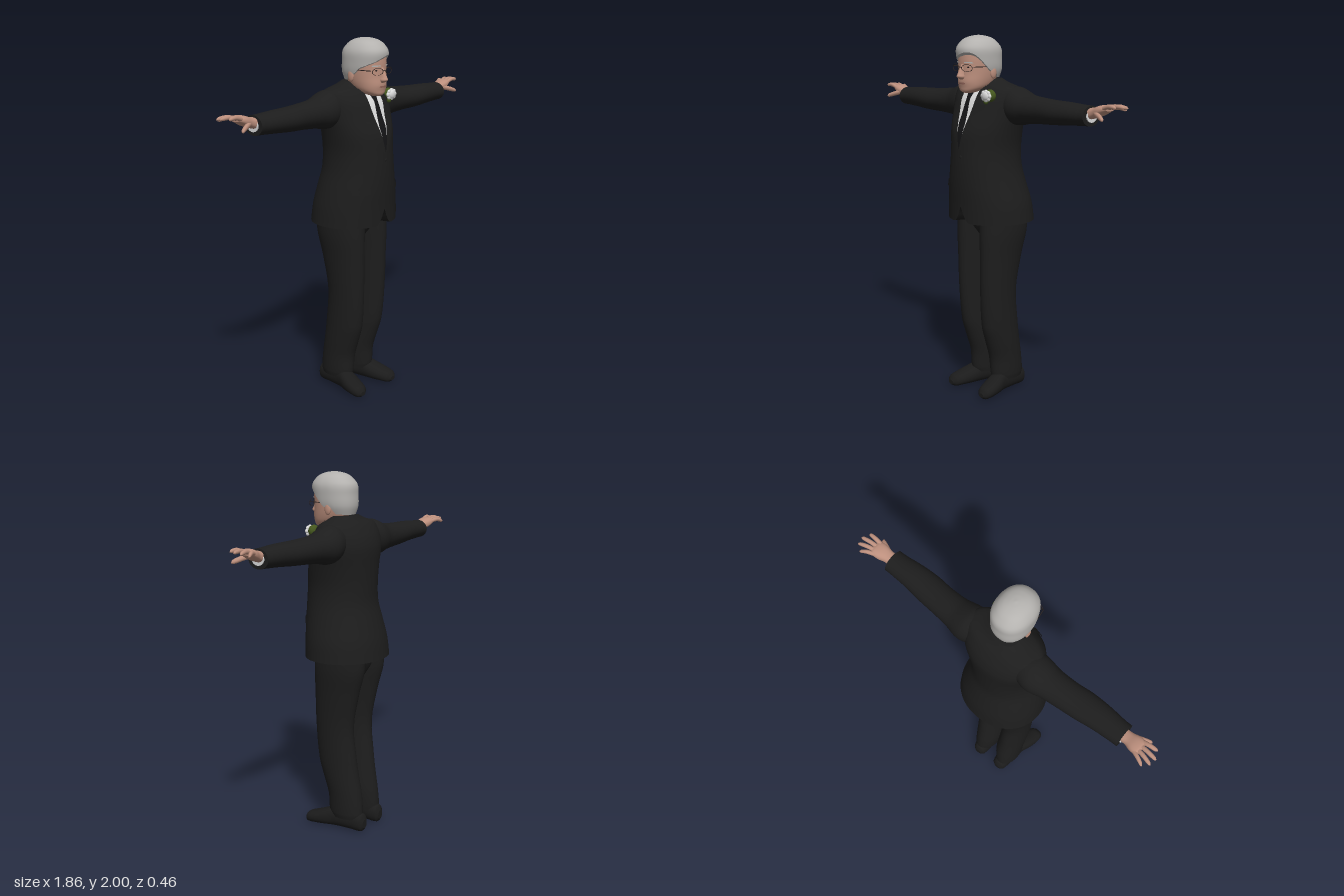
import * as THREE from 'three';

const mat = (name, color, side = THREE.FrontSide) => {
  const m = new THREE.MeshStandardMaterial({ color, side });
  m.name = name;
  return m;
};
const M = {
  suit: mat('suit black', 0x1d1d1d, THREE.DoubleSide),
  shoe: mat('shoe black', 0x1b1b1b),
  tie: mat('tie black', 0x141416, THREE.DoubleSide),
  shirt: mat('shirt white', 0xdcdcdc, THREE.DoubleSide),
  skin: mat('skin', 0xbc8f7d, THREE.DoubleSide),
  lips: mat('lips', 0x9c6c60, THREE.DoubleSide),
  hair: mat('grey hair', 0xb4b2af, THREE.DoubleSide),
  frame: mat('glasses and eyes', 0x2a2220),
  leaf: mat('leaf green', 0x44561e),
};

// Smooth interpolation of sections [t, centreU, centreV, halfU, halfV]
function sample(S, t) {
  let i = 0;
  while (i < S.length - 2 && t > S[i + 1][0]) i++;
  const a = S[i], b = S[i + 1], h = b[0] - a[0];
  const f = Math.min(1, Math.max(0, (t - a[0]) / h));
  const p = S[Math.max(0, i - 1)], n = S[Math.min(S.length - 1, i + 2)];
  return a.map((_, k) => {
    const m0 = (b[k] - p[k]) / (b[0] - p[0]) * h, m1 = (n[k] - a[k]) / (n[0] - a[0]) * h;
    const f2 = f * f, f3 = f2 * f;
    return (2 * f3 - 3 * f2 + 1) * a[k] + (f3 - 2 * f2 + f) * m0 + (3 * f2 - 2 * f3) * b[k] + (f3 - f2) * m1;
  });
}

const place = {
  y: (u, t, v) => [u, t, v], // u = x, v = z
  x: (u, t, v) => [t, v, u], // u = z, v = y
  z: (u, t, v) => [v, u, t], // u = y, v = x
};

// Closed body through superellipse sections; warp(t, angle) shifts the rows
function loft(name, S, material, { axis = 'y', exp = 2, seg = 32, sub = 4, warp = (t) => t } = {}) {
  const pos = [], idx = [], ts = [];
  for (let i = 0; i < S.length - 1; i++)
    for (let k = 0; k < sub; k++) ts.push(S[i][0] + (S[i + 1][0] - S[i][0]) * k / sub);
  ts.push(S[S.length - 1][0]);
  const ring = (t) => {
    for (let j = 0; j < seg; j++) {
      const a = j / seg * Math.PI * 2, c = Math.cos(a), s = Math.sin(a), w = warp(t, a);
      const [, cu, cv, hu, hv] = sample(S, w);
      pos.push(...place[axis](
        cu + Math.max(hu, 0.001) * Math.sign(c) * Math.abs(c) ** (2 / exp), w,
        cv + Math.max(hv, 0.001) * Math.sign(s) * Math.abs(s) ** (2 / exp)));
    }
  };
  ts.forEach(ring);
  for (let i = 0; i < ts.length - 1; i++)
    for (let j = 0; j < seg; j++) {
      const a = i * seg + j, b = i * seg + (j + 1) % seg;
      idx.push(a, a + seg, b, b, a + seg, b + seg);
    }
  // end caps
  [ts[0], ts[ts.length - 1]].forEach((t, e) => {
    const o = pos.length / 3;
    ring(t);
    const [, cu, cv] = sample(S, t);
    pos.push(...place[axis](cu, t, cv));
    for (let j = 0; j < seg; j++) {
      const p = o + j, q = o + (j + 1) % seg;
      idx.push(o + seg, ...(e ? [q, p] : [p, q]));
    }
  });
  return build(name, pos, idx, material);
}

function build(name, pos, idx, material) {
  const g = new THREE.BufferGeometry();
  g.setAttribute('position', new THREE.Float32BufferAttribute(pos, 3));
  g.setIndex(idx);
  g.computeVertexNormals();
  return named(name, g, material);
}

function named(name, geometry, material) {
  const m = new THREE.Mesh(geometry, material);
  m.name = name;
  return m;
}

// Thin patch lying on the front of a loft; rows are [y, x0, x1], top to bottom
function patch(name, S, exp, rows, off, material) {
  const pos = [], idx = [], nx = 6, sub = 6;
  let count = 0;
  for (let i = 0; i < rows.length - 1; i++)
    for (let k = 0; k <= (i === rows.length - 2 ? sub : sub - 1); k++, count++) {
      const [y, x0, x1] = rows[i].map((v, c) => v + (rows[i + 1][c] - v) * k / sub);
      const [, cu, cv, hu, hv] = sample(S, y);
      for (let j = 0; j <= nx; j++) {
        const x = x0 + (x1 - x0) * j / nx;
        const r = Math.min(1, Math.abs((x - cu) / hu));
        pos.push(x, y, cv + hv * (1 - r ** exp) ** (1 / exp) + off);
      }
    }
  for (let i = 0; i < count - 1; i++)
    for (let j = 0; j < nx; j++) {
      const a = i * (nx + 1) + j, b = a + nx + 1;
      idx.push(a, b, a + 1, a + 1, b, b + 1);
    }
  return build(name, pos, idx, material);
}

function ball(name, x, y, z, sx, sy, sz, material) {
  return named(name, new THREE.SphereGeometry(1, 16, 12).scale(sx, sy, sz).translate(x, y, z), material);
}

// Mirror to the other side, turning the faces back outward
function mirrored(mesh) {
  const g = mesh.geometry.clone().scale(-1, 1, 1), ix = g.index.array;
  for (let i = 0; i < ix.length; i += 3) [ix[i], ix[i + 1]] = [ix[i + 1], ix[i]];
  g.computeVertexNormals();
  return named(mesh.name.replace('left', 'right'), g, mesh.material);
}

const TORSO = [
  [1.0, 0.004, -0.008, 0.248, 0.22], [1.1, 0.003, 0, 0.238, 0.215], [1.2, 0, 0.015, 0.216, 0.205],
  [1.3, 0, 0.027, 0.194, 0.193], [1.4, 0, 0.026, 0.187, 0.189], [1.5, 0, 0.02, 0.2, 0.185],
  [1.6, 0, 0.002, 0.22, 0.168], [1.66, 0, 0, 0.224, 0.15], [1.7, 0, 0, 0.22, 0.127],
  [1.73, 0, 0, 0.2, 0.103], [1.75, 0, 0.003, 0.13, 0.08], [1.77, 0, 0.005, 0.08, 0.064]];
const TORSO_EXP = 2.1;
const HEAD = [
  [1.7, 0, 0.15, 0.025, 0.03], [1.71, 0, 0.135, 0.05, 0.056], [1.73, 0, 0.115, 0.072, 0.08],
  [1.76, 0, 0.095, 0.084, 0.105], [1.8, 0, 0.083, 0.091, 0.113], [1.84, 0, 0.08, 0.094, 0.115],
  [1.88, 0, 0.08, 0.096, 0.114], [1.92, 0, 0.08, 0.092, 0.107], [1.95, 0, 0.08, 0.068, 0.082],
  [1.97, 0, 0.08, 0.03, 0.035]];
const HAIR = [
  [1.77, 0, 0.06, 0.08, 0.1], [1.82, 0, 0.066, 0.1, 0.12], [1.88, 0, 0.074, 0.105, 0.127],
  [1.93, 0, 0.078, 0.103, 0.127], [1.965, 0, 0.08, 0.084, 0.102], [1.985, 0, 0.08, 0.06, 0.073],
  [1.996, 0, 0.08, 0.03, 0.036], [2.0, 0, 0.08, 0.004, 0.004]];

// Height of the hair edge around the head: low nape, ears, sideburns, side-swept fringe
function hairline(a) {
  const s = Math.sin(a), keys = [[-1, 1.775], [-0.35, 1.78], [-0.15, 1.825], [0.12, 1.815], [0.35, 1.85], [0.7, 1.885], [1, 1.905]];
  let i = 0;
  while (i < keys.length - 2 && s > keys[i + 1][0]) i++;
  const [p, q] = [keys[i], keys[i + 1]];
  const sweep = s > 0.35 ? 0.04 * Math.cos(a) * (s - 0.35) / 0.65 : 0;
  return p[1] + (q[1] - p[1]) * (s - p[0]) / (q[0] - p[0]) + sweep;
}

export function createModel() {
  const model = new THREE.Group();
  model.name = 'man in suit';
  const add = (...m) => model.add(...m);
  const pair = (m) => add(m, mirrored(m));

  // Jacket with a narrow rounded cutaway at the front hem
  add(loft('jacket', TORSO, M.suit, {
    exp: TORSO_EXP, seg: 96,
    warp: (t, a) => {
      const lift = Math.sin(a) > 0 ? 0.09 * Math.max(0, 1 - Math.abs(Math.cos(a)) / 0.24) ** 2 : 0;
      return t + lift * Math.max(0, (1.4 - t) / 0.4);
    },
  }));
  const onChest = (name, rows, off, material) => patch(name, TORSO, TORSO_EXP, rows, off, material);
  add(onChest('shirt front', [[1.735, -0.06, 0.06], [1.66, -0.06, 0.06], [1.56, -0.042, 0.042], [1.4, -0.003, 0.003]], 0.003, M.shirt));
  add(onChest('tie', [[1.715, -0.015, 0.015], [1.7, -0.022, 0.022], [1.67, -0.014, 0.014], [1.54, -0.025, 0.025], [1.4, -0.008, 0.008]], 0.006, M.tie));
  pair(onChest('left lapel', [[1.745, 0.056, 0.075], [1.67, 0.056, 0.112], [1.65, 0.054, 0.085], [1.64, 0.053, 0.125],
    [1.55, 0.036, 0.095], [1.4, 0, 0.012]], 0.008, M.suit));
  pair(onChest('left pocket flap', [[1.215, 0.1, 0.18], [1.185, 0.1, 0.18]], 0.006, M.suit));
  add(ball('jacket button', 0.008, 1.36, 0.216, 0.009, 0.009, 0.004, M.suit));

  // Sleeves and cuffs
  pair(loft('left sleeve', [
    [0.14, -0.02, 1.642, 0.085, 0.09], [0.2, -0.02, 1.634, 0.1, 0.101], [0.24, -0.02, 1.628, 0.098, 0.095],
    [0.3, -0.017, 1.623, 0.086, 0.078], [0.4, -0.012, 1.622, 0.08, 0.068], [0.5, -0.004, 1.622, 0.08, 0.063],
    [0.6, 0, 1.625, 0.072, 0.058], [0.7, -0.002, 1.625, 0.064, 0.052], [0.74, -0.002, 1.625, 0.063, 0.051]], M.suit, { axis: 'x' }));
  pair(loft('left shirt cuff', [[0.72, -0.003, 1.625, 0.038, 0.032], [0.746, -0.003, 1.625, 0.038, 0.032]], M.shirt, { axis: 'x' }));

  // Hands: palm, four spread fingers, lowered thumb
  pair(loft('left palm', [
    [0.73, -0.003, 1.635, 0.035, 0.029], [0.765, -0.005, 1.643, 0.034, 0.027], [0.8, -0.01, 1.655, 0.043, 0.027],
    [0.83, -0.014, 1.665, 0.043, 0.02], [0.848, -0.016, 1.668, 0.034, 0.012]], M.skin, { axis: 'x', exp: 2.4 }));
  const finger = (name, x0, y0, z0, x1, y1, z1, r, bend) => {
    const at = (f, k) => [x0 + (x1 - x0) * f, z0 + (z1 - z0) * f, y0 + (y1 - y0) * f + bend * 4 * f * (1 - f), r * k, r * k];
    pair(loft(name, [at(0, 1), at(0.5, 1), at(0.9, 0.8), at(1, 0.25)], M.skin, { axis: 'x', seg: 12 }));
  };
  [[0.895, 1.66, -0.08, -0.046], [0.925, 1.672, -0.055, -0.026], [0.932, 1.677, -0.02, -0.005], [0.912, 1.678, 0.02, 0.015]]
    .forEach(([x, y, z, z0], i) => finger(`left finger ${i + 1}`, 0.82, 1.665, z0, x, y, z, 0.0115, 0.01));
  finger('left thumb', 0.775, 1.645, 0.015, 0.865, 1.618, 0.056, 0.0135, 0.002);

  // Trousers and shoes
  add(loft('trouser seat', [[0.9, 0, -0.03, 0.03, 0.09], [0.96, 0, -0.025, 0.08, 0.13], [1.04, 0, -0.02, 0.165, 0.155], [1.15, 0, -0.01, 0.18, 0.155]], M.suit));
  pair(loft('left trouser leg', [
    [0.07, 0.082, -0.058, 0.064, 0.097], [0.1, 0.083, -0.055, 0.069, 0.105], [0.2, 0.08, -0.046, 0.075, 0.104],
    [0.3, 0.082, -0.022, 0.077, 0.111], [0.4, 0.085, 0, 0.076, 0.119], [0.6, 0.09, 0.017, 0.074, 0.118],
    [0.8, 0.093, 0, 0.082, 0.138], [0.95, 0.094, -0.018, 0.094, 0.157], [1.15, 0.088, -0.02, 0.09, 0.15]], M.suit));
  pair(loft('left shoe', [
    [-0.18, 0.045, 0.08, 0.025, 0.02], [-0.165, 0.05, 0.08, 0.05, 0.04], [-0.1, 0.055, 0.082, 0.055, 0.05],
    [0, 0.06, 0.094, 0.06, 0.05], [0.06, 0.049, 0.108, 0.049, 0.056], [0.12, 0.038, 0.122, 0.038, 0.053],
    [0.165, 0.03, 0.13, 0.03, 0.04], [0.183, 0.025, 0.132, 0.012, 0.018]], M.shoe, { axis: 'z', exp: 2.2 }));

  // Neck and collar
  add(loft('neck', [[1.66, 0, 0.035, 0.062, 0.062], [1.8, 0, 0.06, 0.064, 0.07]], M.skin));
  add(loft('shirt collar', [[1.68, 0, 0.03, 0.07, 0.078], [1.72, 0, 0.036, 0.074, 0.08], [1.765, 0, 0.04, 0.07, 0.074]], M.shirt));

  // Head, face and hair
  add(loft('head', HEAD, M.skin, { exp: 2.2, seg: 40 }));
  add(loft('hair', HAIR, M.hair, {
    exp: 2.2, seg: 64,
    warp: (t, a) => 2 - (2 - t) * (2 - hairline(a)) / 0.23,
  }));
  add(loft('nose', [[1.772, 0, 0.195, 0.012, 0.012], [1.785, 0, 0.2, 0.02, 0.028], [1.8, 0, 0.197, 0.016, 0.027],
    [1.83, 0, 0.193, 0.01, 0.016], [1.85, 0, 0.187, 0.009, 0.01]], M.skin, { seg: 16 }));
  pair(ball('left ear', 0.094, 1.806, 0.058, 0.01, 0.032, 0.02, M.skin));
  pair(ball('left eye', 0.038, 1.836, 0.185, 0.01, 0.0035, 0.005, M.frame));
  const onFace = (name, rows, off, material) => patch(name, HEAD, 2.2, rows, off, material);
  pair(onFace('left eyebrow', [[1.864, 0.022, 0.06], [1.857, 0.018, 0.066]], 0.005, M.hair));
  add(onFace('mouth', [[1.755, -0.024, 0.024], [1.75, -0.028, 0.028], [1.746, -0.02, 0.02]], 0.003, M.lips));

  // Glasses
  pair(named('left lens rim', new THREE.TorusGeometry(0.03, 0.0017, 8, 28).scale(1.15, 0.62, 1).rotateY(0.25).translate(0.045, 1.832, 0.2), M.frame));
  pair(named('left glasses arm', new THREE.BoxGeometry(0.003, 0.004, 0.125).rotateY(-0.13).translate(0.092, 1.838, 0.125), M.frame));
  add(named('glasses bridge', new THREE.BoxGeometry(0.026, 0.003, 0.003).translate(0, 1.836, 0.209), M.frame));

  // Buttonhole flower: white petals in front of a green bundle
  const flower = new THREE.Group();
  flower.name = 'buttonhole flower';
  flower.add(ball('blossom centre', 0.135, 1.69, 0.15, 0.027, 0.025, 0.014, M.shirt));
  for (let i = 0; i < 8; i++) {
    const a = i / 8 * Math.PI * 2;
    flower.add(ball('petal', 0.135 + 0.026 * Math.cos(a), 1.69 + 0.02 * Math.sin(a), 0.147, 0.014, 0.013, 0.009, M.shirt));
  }
  flower.add(ball('leaf bundle', 0.137, 1.69, 0.12, 0.037, 0.033, 0.026, M.leaf));
  flower.add(ball('lower leaf', 0.125, 1.66, 0.138, 0.012, 0.016, 0.014, M.leaf));
  add(flower);
  return model;
}
